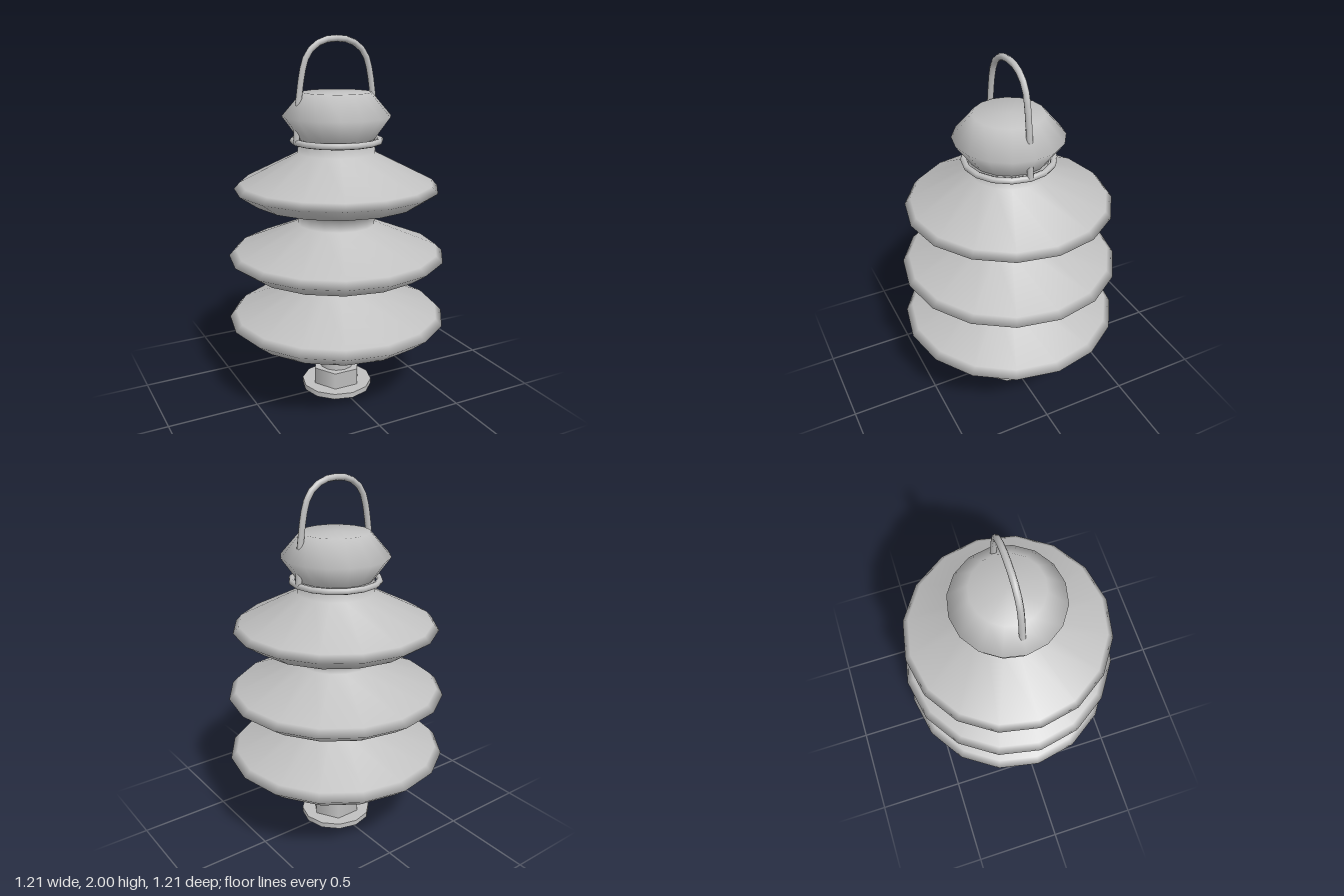
import * as THREE from 'three';

export function createModel() {
  const model = new THREE.Group();
  model.name = 'insulator';
  const grey = new THREE.MeshStandardMaterial({ color: 0xc0c0c0 });
  grey.name = 'grey ceramic';

  function add(name, geometry, y = 0) {
    const mesh = new THREE.Mesh(geometry, grey);
    mesh.name = name;
    mesh.position.y = y;
    model.add(mesh);
    return mesh;
  }
  const lathe = (points) =>
    new THREE.LatheGeometry(points.map(([r, y]) => new THREE.Vector2(r, y)), 16);
  // Capped cylinder from y0 to y1
  const post = (name, r0, r1, y0, y1, sides) =>
    add(name, new THREE.CylinderGeometry(r1, r0, y1 - y0, sides), (y0 + y1) / 2);

  // Bolt, washer and hex nut under the body
  post('boltEnd', 0.1, 0.1, 0, 0.03, 12);
  post('washer', 0.2, 0.2, 0.015, 0.045, 12);
  const nut = post('hexNut', 0.14, 0.14, 0.045, 0.14, 6);
  nut.rotation.y = Math.PI / 2;
  nut.rotation.y = Math.PI / 6;
  post('boltStem', 0.095, 0.095, 0.13, 0.24, 12);
  post('lowerCore', 0.175, 0.225, 0.225, 0.43, 16);

  // Three sheds: underside, rounded rim, sloping top and neck
  add('sheds', lathe([
    [0.2, 0.43], [0.3, 0.425], [0.524, 0.39], [0.606, 0.457], [0.57, 0.495], [0.22, 0.637],
    [0.21, 0.7], [0.51, 0.758], [0.597, 0.82], [0.56, 0.856], [0.215, 0.998],
    [0.207, 1.07], [0.46, 1.13], [0.557, 1.197], [0.525, 1.233], [0.21, 1.39], [0.207, 1.47],
  ]));

  // Head with a wide waist and a flat top
  add('head', lathe([
    [0.19, 1.44], [0.207, 1.465], [0.293, 1.585], [0.185, 1.71], [0, 1.712],
  ]));

  // Wire ring round the neck
  const ring = new THREE.TorusGeometry(0.235, 0.017, 8, 16);
  ring.rotateX(Math.PI / 2);
  add('neckRing', ring, 1.455);

  // Wire handle rising from the ring through the head
  const half = [[0.235, 1.455], [0.233, 1.53], [0.222, 1.66], [0.17, 1.9], [0.095, 1.966]];
  const path = new THREE.CurvePath();
  const points = [
    ...half.map(([x, y]) => new THREE.Vector3(-x, y, 0)),
    new THREE.Vector3(0, 1.983, 0),
    ...half.map(([x, y]) => new THREE.Vector3(x, y, 0)).reverse(),
  ];
  const curve = new THREE.CatmullRomCurve3(points, false, 'centripetal', 0.1);
  add('wireHandle', new THREE.TubeGeometry(curve, 24, 0.017, 8));

  return model;
}
